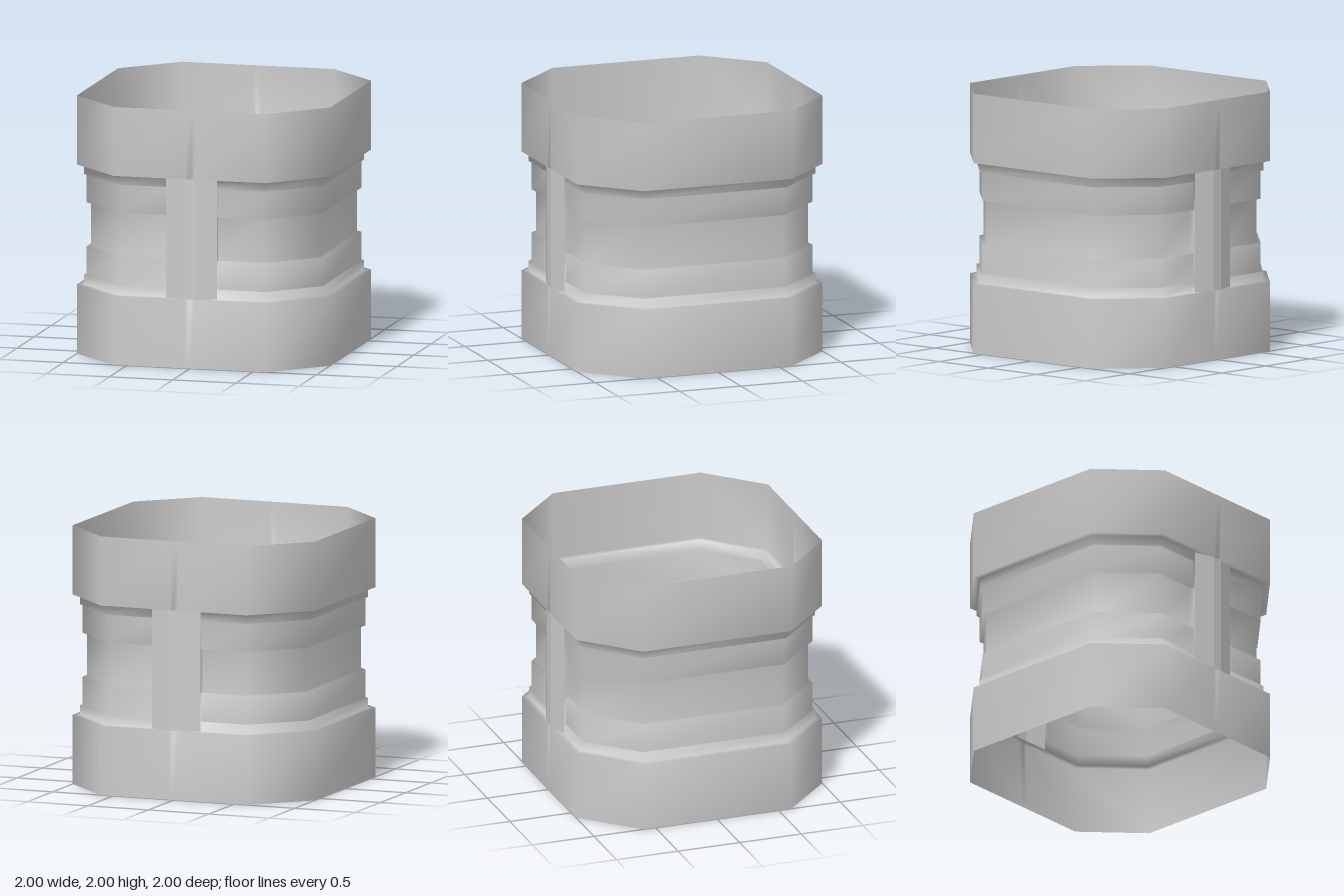
import * as THREE from 'three';
import { mergeVertices } from 'three/addons/utils/BufferGeometryUtils.js';

const material = new THREE.MeshStandardMaterial({ color: 0xcccccc, side: THREE.DoubleSide });
const LOW = 0.535, HIGH = 2 - LOW;   // inner edges of the two collars
const RIB = 0.2, CREST = 0.04;       // half widths of rib base and crest
const RIB_Z = 0.95;                  // depth of the rib base

// Half an octagon (front to back over +x) at half width r
function halfOutline(r) {
  const c = 0.6 - (1 - r) * 0.414;
  const collar = r === 1;
  const edge = collar ? CREST : RIB;
  const ends = collar ? [0, 1] : [RIB, RIB_Z]; // recessed walls close against the rib
  return [ends, [edge, r], [c, r], [r, c], [r, -c], [c, -r], [edge, -r], [ends[0], -ends[1]]];
}

function toGeometry(positions) {
  const g = new THREE.BufferGeometry();
  g.setAttribute('position', new THREE.Float32BufferAttribute(positions, 3));
  return g;
}

function addQuad(out, a, b, c, d) {
  out.push(...a, ...b, ...c, ...a, ...c, ...d);
}

// Collars, stepped recess and ledges, smooth shaded
function bodyGeometry() {
  const lower = [[0, 1], [LOW, 1], [LOW, 0.95], [0.61, 0.95], [0.61, 0.93], [0.83, 0.93], [0.83, 0.9]];
  const rows = [...lower, ...lower.map(([y, r]) => [2 - y, r]).reverse()];
  const out = [];
  for (const s of [1, -1]) {
    const rings = rows.map(([y, r]) => halfOutline(r).map(([x, z]) => [s * x, y, s * z]));
    for (let i = 0; i < rings.length - 1; i++) {
      for (let j = 0; j < rings[i].length - 1; j++) {
        addQuad(out, rings[i][j], rings[i][j + 1], rings[i + 1][j + 1], rings[i + 1][j]);
      }
    }
    // ledge pieces behind the rib
    const tri = (y) => [[0, y, s], [s * RIB, y, s * RIB_Z], [-s * RIB, y, s * RIB_Z]];
    out.push(...tri(LOW).flat(), ...tri(HIGH).reverse().flat());
  }
  const g = mergeVertices(toGeometry(out), 1e-4);
  g.computeVertexNormals();
  return g;
}

// Vertical rib with two slanted flanks and a narrow crest
function ribGeometry() {
  const section = [[-RIB, RIB_Z], [-CREST, 1], [CREST, 1], [RIB, RIB_Z]];
  const out = [];
  for (let i = 0; i < section.length - 1; i++) {
    const [x0, z0] = section[i], [x1, z1] = section[i + 1];
    addQuad(out, [x0, LOW, z0], [x1, LOW, z1], [x1, HIGH, z1], [x0, HIGH, z0]);
  }
  const g = toGeometry(out);
  g.computeVertexNormals();
  return g;
}

export function createModel() {
  const group = new THREE.Group();
  group.name = 'octagonalSleeve';

  const body = new THREE.Mesh(bodyGeometry(), material);
  body.name = 'steppedBody';
  group.add(body);

  const ribShape = ribGeometry();
  [['frontRib', 0], ['backRib', Math.PI]].forEach(([name, angle]) => {
    const rib = new THREE.Mesh(ribShape, material);
    rib.name = name;
    rib.rotation.y = angle;
    group.add(rib);
  });
  return group;
}
